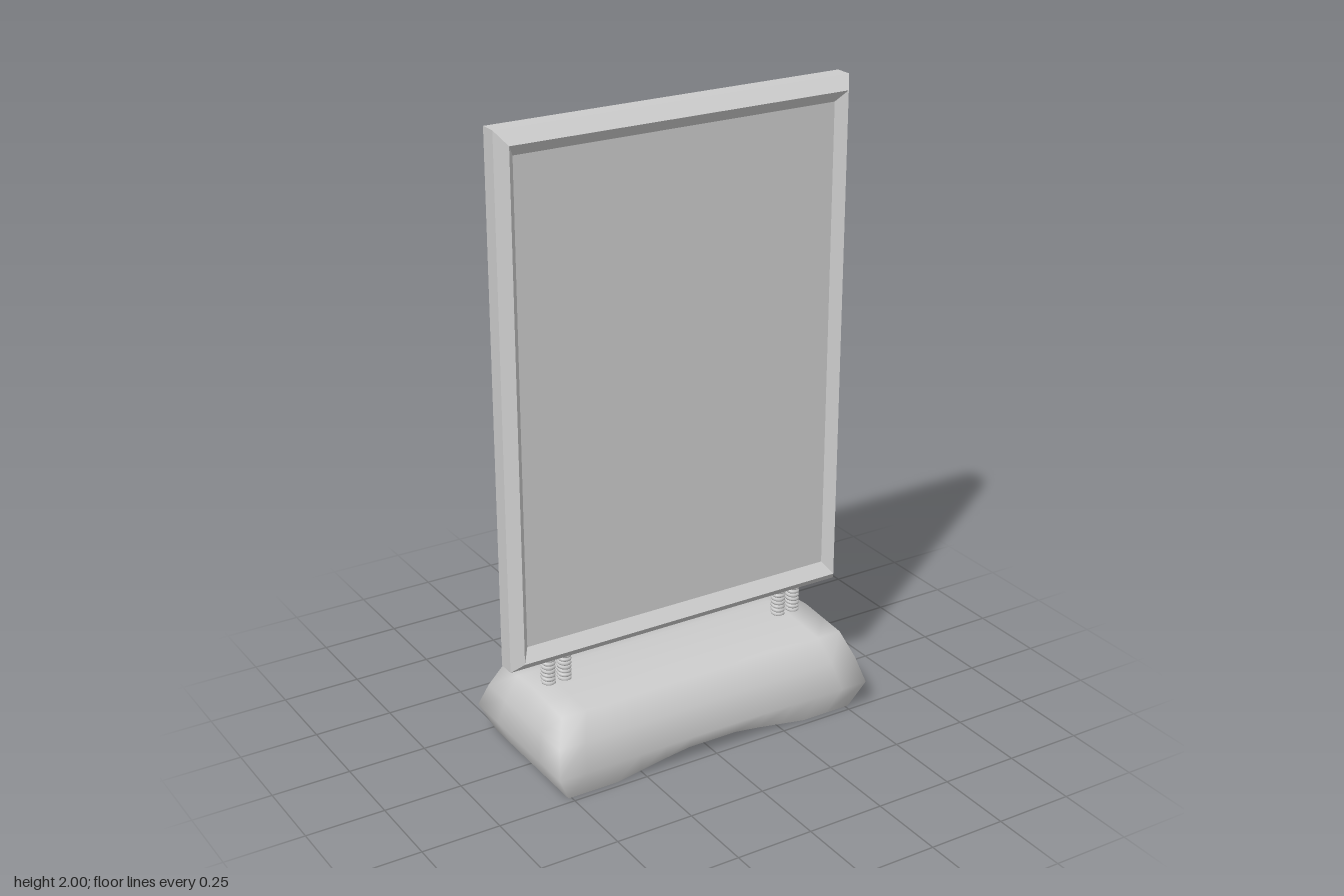
import * as THREE from 'three';
import { mergeVertices } from 'three/addons/utils/BufferGeometryUtils.js';

const material = new THREE.MeshStandardMaterial({ color: 0xcccccc });
const flat = new THREE.MeshStandardMaterial({ color: 0xcccccc, flatShading: true });

function add(group, name, geometry, mat) {
  const mesh = new THREE.Mesh(geometry, mat);
  mesh.name = name;
  group.add(mesh);
  return mesh;
}

// Joins rectangular rings [halfWidth, halfHeight, z], listed front to back
function rectLoft(rings) {
  const corners = [[1, 1], [-1, 1], [-1, -1], [1, -1]];
  const pos = [];
  const point = (r, j) => [r[0] * corners[j % 4][0], r[1] * corners[j % 4][1], r[2]];
  for (let i = 0; i < rings.length - 1; i++) {
    for (let j = 0; j < 4; j++) {
      const a = point(rings[i], j), b = point(rings[i], j + 1);
      const c = point(rings[i + 1], j + 1), d = point(rings[i + 1], j);
      pos.push(...a, ...d, ...c, ...a, ...c, ...b);
    }
  }
  const g = new THREE.BufferGeometry();
  g.setAttribute('position', new THREE.Float32BufferAttribute(pos, 3));
  g.computeVertexNormals();
  return g;
}

// Weighted foot: a box swollen level by level, arched underneath
function footGeometry() {
  const levels = [[0.51, 0, 0.23], [0.554, 0.09, 0.262], [0.534, 0.17, 0.226], [0.502, 0.25, 0.185]];
  const g = new THREE.BoxGeometry(2, 3, 2, 12, 3, 4);
  const p = g.attributes.position, n = g.attributes.normal, tag = g.attributes.uv;
  for (let i = 0; i < p.count; i++) {
    const u = p.getX(i), w = p.getZ(i), k = Math.round(p.getY(i) + 1.5);
    const [hx, y, hz] = levels[k];
    const arch = THREE.MathUtils.clamp((0.667 - Math.abs(u)) / 0.467, 0, 1);
    const lift = k === 0 ? 0.036 * arch : k === 3 ? 0.015 * (1 - Math.abs(w)) : 0;
    p.setXYZ(i, u * hx, y + lift, w * (hz - 0.005 * arch));
    // the underside keeps its own normals, everything else is smoothed together
    tag.setXY(i, n.getY(i) < -0.5 ? 1 : 0, 0);
  }
  g.deleteAttribute('normal');
  const smooth = mergeVertices(g);
  smooth.computeVertexNormals();
  return smooth;
}

// Tightly wound coil spring
class Coil extends THREE.Curve {
  getPoint(t, target = new THREE.Vector3()) {
    const a = t * 8 * Math.PI * 2;
    return target.set(0.017 * Math.cos(a), 0.25 + 0.105 * t, 0.017 * Math.sin(a));
  }
}

export function createModel() {
  const model = new THREE.Group();
  model.name = 'pavementSign';

  add(model, 'foot', footGeometry(), material);

  // Two springs at each side, with a solid core
  const coil = new THREE.TubeGeometry(new Coil(), 128, 0.0062, 6);
  const core = new THREE.CylinderGeometry(0.013, 0.013, 0.105, 12);
  for (const x of [-0.445, -0.39, 0.39, 0.445]) {
    const spring = new THREE.Group();
    spring.name = 'spring';
    spring.position.x = x;
    add(spring, 'springCoil', coil, material);
    add(spring, 'springCore', core, material).position.y = 0.3025;
    model.add(spring);
  }

  // Bevelled frame around a recessed double-sided panel
  const board = new THREE.Group();
  board.name = 'board';
  board.position.y = 1.175;
  const front = [[0.531, 0.75, 0.035], [0.557, 0.787, 0.067], [0.585, 0.825, 0.027]];
  const back = front.map(([x, y, z]) => [x, y, -z]).reverse();
  add(board, 'frame', rectLoft([...front, ...back]), flat);
  add(board, 'panel', new THREE.BoxGeometry(1.062, 1.5, 0.07), flat);
  model.add(board);

  return model;
}
